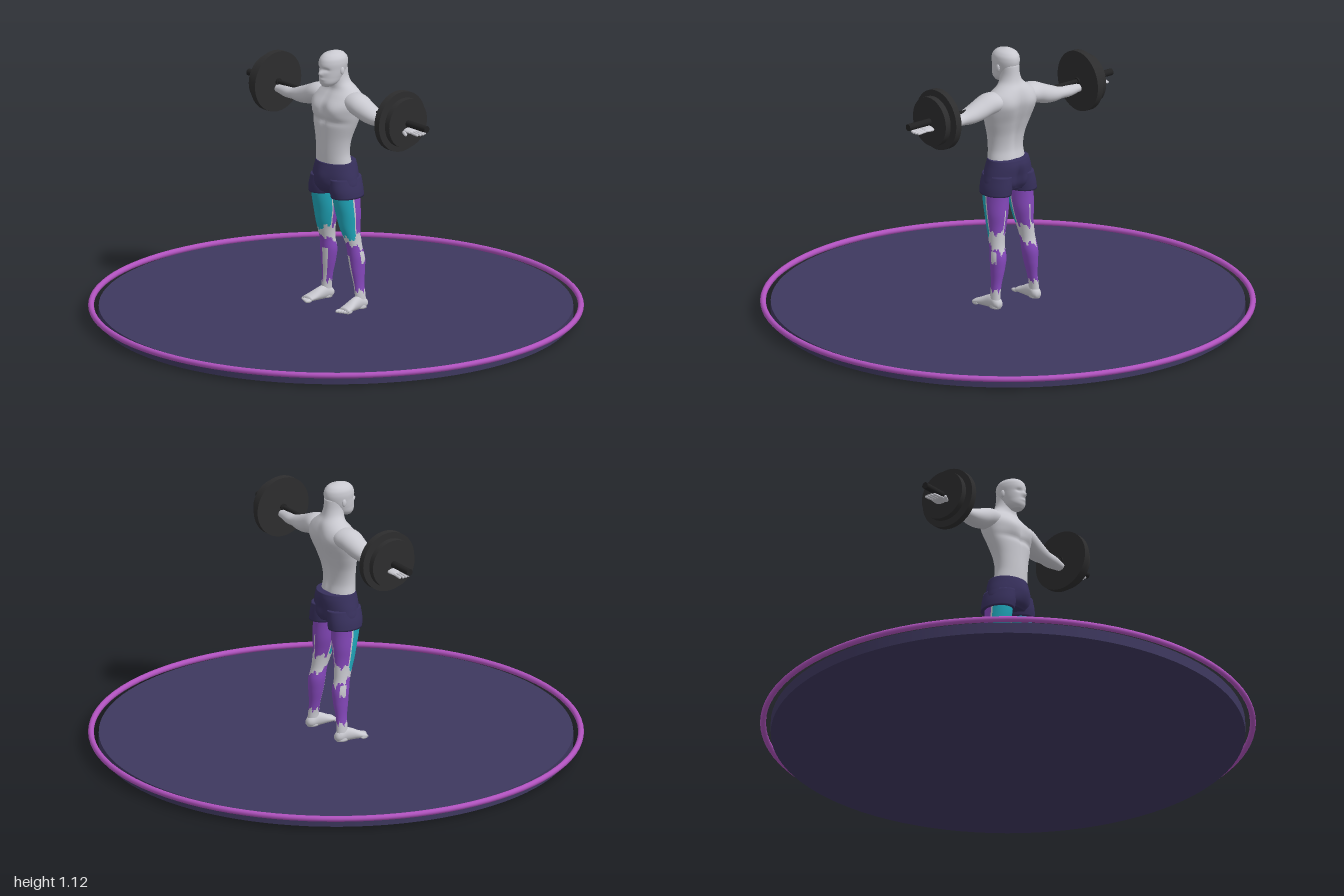
import * as THREE from 'three';

const mat = (name, color) => Object.assign(new THREE.MeshStandardMaterial({ color }), { name });
const skin = mat('pale skin', 0xc9c9d0);
const teal = mat('teal muscle', 0x20a8bc);
const purple = mat('purple muscle', 0x8548bb);
const cloth = mat('shorts navy', 0x37305c);
const floor = mat('platform indigo', 0x3e385f);
const glow = mat('ring violet', 0xb052be);
const iron = mat('plate black', 0x2d2d2e);
const steel = mat('bar black', 0x222223);

// Maps ring coordinates (a, b) and the length t to x, y, z
const AXES = {
  x: (a, b, t) => [t, a, b],
  y: (a, b, t) => [a, t, b],
  z: (a, b, t) => [a, b, t],
};
const gauss = (d, w) => Math.exp(-(d * d) / (w * w));

// Smooth loft through elliptical sections [t, centreA, centreB, radiusA, radiusB]
function loft(axis, sections, { side = 1, segs = 32, steps = 40, bump, pick, mats = skin } = {}) {
  const curve = new THREE.CubicInterpolant(
    sections.map(s => s[0]), sections.flatMap(s => s.slice(1)), 4, new Float32Array(4));
  const t0 = sections[0][0], t1 = sections[sections.length - 1][0];
  const pos = [], info = [];
  const add = (a, b, t, c, s) => {
    const p = new THREE.Vector3(...AXES[axis](a, b, t));
    if (bump) bump(p, c, s);
    pos.push(p.x * side, p.y, p.z);
  };
  for (let j = 0; j <= steps; j++) {
    const t = t0 + (t1 - t0) * j / steps;
    const [ca, cb, ra, rb] = curve.evaluate(t);
    for (let i = 0; i < segs; i++) {
      const ang = i / segs * Math.PI * 2, c = Math.cos(ang), s = Math.sin(ang);
      add(ca + ra * c, cb + rb * s, t, c, s);
    }
    info.push([ca, cb]);
  }
  add(...info[0], t0, 0, 0);
  add(...info[steps], t1, 0, 0);
  const flip = (axis === 'y') !== (side < 0);
  const list = Array.isArray(mats) ? mats : [mats];
  const faces = list.map(() => []);
  const tri = (k, a, b, c) => faces[k].push(a, flip ? c : b, flip ? b : c);
  const end = (steps + 1) * segs;
  for (let i = 0; i < segs; i++) {
    const n = (i + 1) % segs;
    for (let j = 0; j < steps; j++) {
      const ang = (i + 0.5) / segs * Math.PI * 2, t = t0 + (t1 - t0) * (j + 0.5) / steps;
      const k = pick ? pick(t, Math.cos(ang), Math.sin(ang), ang) : 0;
      const p = j * segs, q = p + segs;
      tri(k, p + i, p + n, q + n);
      tri(k, p + i, q + n, q + i);
    }
    tri(0, end, n, i);
    tri(0, end + 1, steps * segs + i, steps * segs + n);
  }
  const geo = new THREE.BufferGeometry();
  geo.setAttribute('position', new THREE.Float32BufferAttribute(pos, 3));
  geo.setIndex(faces.flat());
  let start = 0;
  if (list.length > 1) faces.forEach((f, k) => { geo.addGroup(start, f.length, k); start += f.length; });
  geo.computeVertexNormals();
  return new THREE.Mesh(geo, mats);
}

// Leg colours: 0 skin, 1 teal front thigh, 2 purple hamstring and calf
function legColour(y, c, s, ang) {
  const w = 0.008 * Math.sin(ang * 5 + y * 40) + 0.005 * Math.sin(ang * 11);
  if (y > 0.345 + w) {
    if (s > 0.1 && y > 0.355 + w - 0.02 * c) return 1;
    if (s < 0 && y > 0.365 + w) return Math.abs(c + 0.05) < 0.07 && y < 0.46 ? 0 : 2;
    return 0;
  }
  if (y < 0.125 + w || y > 0.305 + w + 0.02 * s) return 0;
  if (c > 0.8 && s < 0.1 && y > 0.235 + w && y < 0.29) return 0;
  if (s > 0.75 && c < 0 && y < 0.27) return 0;
  return 2;
}

export function createModel() {
  const model = new THREE.Group();
  const put = (name, mesh, x = 0, y = 0, z = 0) => {
    mesh.name = name;
    mesh.position.set(x, y, z);
    model.add(mesh);
    return mesh;
  };

  // Platform and its floating ring
  put('platform', new THREE.Mesh(new THREE.CylinderGeometry(0.957, 0.957, 0.046, 96), floor), 0, 0.023);
  put('platformRing', new THREE.Mesh(new THREE.TorusGeometry(0.988, 0.012, 12, 96), glow), 0, 0.046)
    .rotation.x = Math.PI / 2;

  // Torso with chest, belly line and spine groove
  put('torso', loft('y', [
    [0.62, 0, 0.008, 0.088, 0.062], [0.66, 0, 0.012, 0.084, 0.06], [0.70, 0, 0.016, 0.08, 0.057],
    [0.76, 0, 0.013, 0.088, 0.06], [0.82, 0, 0.004, 0.108, 0.069], [0.87, 0, -0.005, 0.123, 0.076],
    [0.91, 0, -0.012, 0.128, 0.077], [0.94, 0, -0.02, 0.11, 0.066], [0.965, 0, -0.024, 0.076, 0.053],
    [0.985, 0, -0.018, 0.052, 0.046], [1.01, 0, -0.012, 0.041, 0.044], [1.06, 0, -0.008, 0.038, 0.042],
  ], {
    segs: 48, steps: 60, bump: (p, c, s) => {
      if (s > 0) {
        p.z += s * 0.014 * gauss(Math.abs(p.x) - 0.055, 0.04) * gauss(p.y - 0.885, 0.032);
        p.z -= 0.007 * gauss(p.x, 0.012) * gauss(p.y - 0.84, 0.12);
        p.z -= s * 0.006 * gauss(p.y - 0.838, 0.012);
      } else {
        p.z += 0.014 * gauss(p.x, 0.016) * gauss(p.y - 0.8, 0.13);
        p.z += s * 0.01 * gauss(Math.abs(p.x) - 0.065, 0.035) * gauss(p.y - 0.9, 0.05);
      }
    },
  }));

  // Head with nose, brow and eye sockets
  put('head', loft('y', [
    [0.98, 0, 0.045, 0.02, 0.024], [0.995, 0, 0.036, 0.034, 0.043], [1.02, 0, 0.026, 0.042, 0.054],
    [1.05, 0, 0.017, 0.047, 0.064], [1.08, 0, 0.014, 0.049, 0.066], [1.10, 0, 0.013, 0.043, 0.057],
    [1.114, 0, 0.012, 0.027, 0.037], [1.121, 0, 0.012, 0.006, 0.008],
  ], {
    segs: 48, steps: 48, bump: (p, c, s) => {
      if (s < 0.3) return;
      p.z += 0.014 * gauss(p.x, 0.009) * gauss(p.y - 1.037, 0.012);
      p.z += 0.004 * gauss(p.x, 0.016) * gauss(p.y - 1.013, 0.006);
      p.z -= 0.008 * gauss(Math.abs(p.x) - 0.02, 0.011) * gauss(p.y - 1.053, 0.008);
    },
  }));

  // Shorts: hips plus a cuff on each leg
  put('shortsHips', loft('y', [
    [0.535, 0, 0.002, 0.1, 0.06], [0.56, 0, 0.002, 0.114, 0.076], [0.60, 0, 0.002, 0.108, 0.08],
    [0.64, 0, 0, 0.096, 0.079], [0.662, 0, 0, 0.089, 0.074],
  ], {
    mats: cloth, segs: 48, bump: (p, c, s) => {
      if (s > 0) p.z += 0.011 * gauss(p.x, 0.035) * gauss(p.y - 0.6, 0.04);
      else p.z += 0.02 * gauss(p.x, 0.014) * gauss(p.y - 0.57, 0.05);
    },
  }));

  for (const side of [1, -1]) {
    const which = side > 0 ? 'left' : 'right';
    put(which + 'ShortsLeg', loft('y', [
      [0.52, 0.067, -0.002, 0.057, 0.074], [0.55, 0.063, 0, 0.057, 0.077], [0.6, 0.055, 0, 0.05, 0.075],
    ], { side, mats: cloth, steps: 12 }));

    // Leg
    put(which + 'Leg', loft('y', [
      [0.05, 0.104, -0.042, 0.02, 0.026], [0.11, 0.101, -0.04, 0.018, 0.024],
      [0.15, 0.095, -0.039, 0.02, 0.024], [0.21, 0.088, -0.038, 0.028, 0.032],
      [0.26, 0.084, -0.036, 0.033, 0.036], [0.31, 0.081, -0.026, 0.03, 0.034],
      [0.35, 0.077, -0.018, 0.032, 0.039], [0.39, 0.072, -0.011, 0.038, 0.046],
      [0.44, 0.068, -0.007, 0.046, 0.053], [0.50, 0.065, 0, 0.049, 0.06], [0.56, 0.063, 0.002, 0.05, 0.064],
    ], { side, segs: 48, steps: 90, mats: [skin, teal, purple], pick: legColour }));

    // Foot and toes
    put(which + 'Foot', loft('z', [
      [-0.072, 0.102, 0.068, 0.012, 0.012], [-0.06, 0.102, 0.07, 0.02, 0.022], [-0.03, 0.103, 0.075, 0.021, 0.029],
      [0, 0.105, 0.071, 0.023, 0.025], [0.035, 0.11, 0.063, 0.028, 0.016], [0.06, 0.113, 0.058, 0.028, 0.011],
    ], { side, steps: 20 }));
    for (let i = 0; i < 5; i++) {
      const toe = put(which + 'Toe' + (i + 1), new THREE.Mesh(new THREE.SphereGeometry(1, 10, 8), skin),
        side * (0.092 + i * 0.0105), 0.055, 0.066 - i * 0.0045);
      toe.scale.set(i ? 0.006 : 0.009, 0.008, 0.018);
    }

    // Arm, shoulder to palm
    put(which + 'Arm', loft('x', [
      [0.07, 0.918, -0.02, 0.036, 0.05], [0.10, 0.916, -0.018, 0.042, 0.055], [0.13, 0.911, -0.015, 0.044, 0.053],
      [0.17, 0.897, -0.014, 0.042, 0.048], [0.22, 0.884, -0.013, 0.034, 0.041], [0.26, 0.879, -0.012, 0.026, 0.034],
      [0.30, 0.877, -0.012, 0.025, 0.033], [0.36, 0.877, -0.012, 0.017, 0.022], [0.40, 0.877, -0.012, 0.012, 0.021],
      [0.43, 0.877, -0.012, 0.011, 0.029], [0.465, 0.877, -0.012, 0.007, 0.027],
    ], { side, steps: 50 }));
    for (let i = 0; i < 4; i++) {
      const finger = put(which + 'Finger' + (i + 1), new THREE.Mesh(new THREE.CapsuleGeometry(0.0055, 0.05, 4, 8), skin),
        side * (0.482 - Math.abs(i - 1.5) * 0.004), 0.876, -0.032 + i * 0.0135);
      finger.rotation.z = side * 1.5;
    }
    const thumb = put(which + 'Thumb', new THREE.Mesh(new THREE.CapsuleGeometry(0.007, 0.04, 4, 8), skin),
      side * 0.44, 0.872, 0.022);
    thumb.rotation.set(0, -side * 0.5, Math.PI / 2);

    // Ear
    put(which + 'Ear', new THREE.Mesh(new THREE.SphereGeometry(1, 12, 10), skin), side * 0.047, 1.045, 0.008)
      .scale.set(0.006, 0.016, 0.01);

    // Weights and bar sleeve
    const rod = (name, r, length, x, m) => {
      put(name, new THREE.Mesh(new THREE.CylinderGeometry(r, r, length, 48), m), side * x, 0.904, -0.01)
        .rotation.z = Math.PI / 2;
    };
    rod(which + 'LargePlate', 0.125, 0.028, 0.376, iron);
    rod(which + 'SmallPlate', 0.102, 0.026, 0.413, iron);
    rod(which + 'Sleeve', 0.014, 0.185, 0.447, steel);
  }

  // Bar
  put('bar', new THREE.Mesh(new THREE.CylinderGeometry(0.009, 0.009, 0.74, 20), steel), 0, 0.904, -0.01)
    .rotation.z = Math.PI / 2;

  return model;
}
